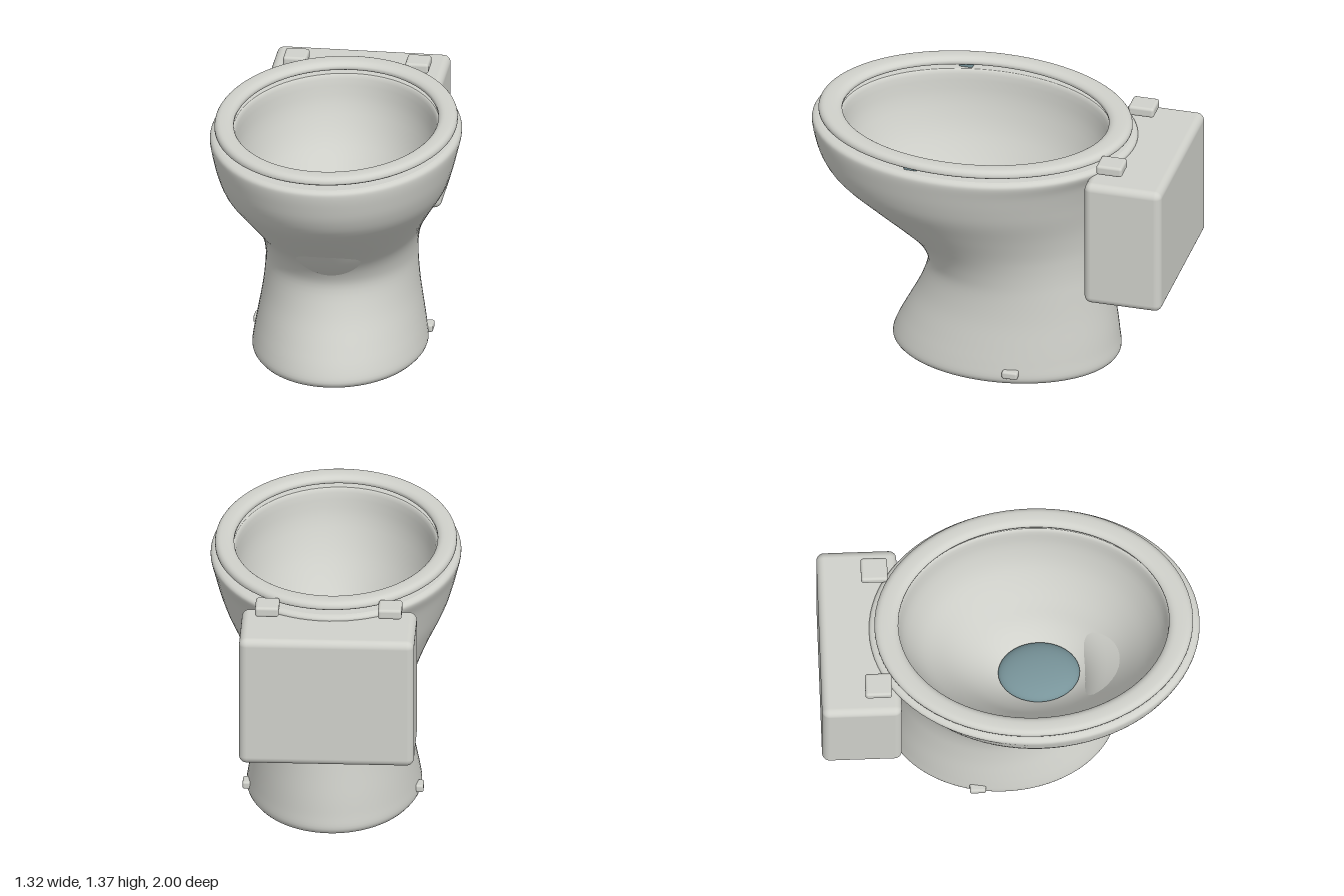
import * as THREE from 'three';
import { RoundedBoxGeometry } from 'three/addons/geometries/RoundedBoxGeometry.js';

const ceramic = new THREE.MeshStandardMaterial({ color: 0xd0d1cb, side: THREE.DoubleSide });
ceramic.name = 'ceramic';
const blueGrey = new THREE.MeshStandardMaterial({ color: 0x78949a });
blueGrey.name = 'blueGrey';

// Skin over elliptical rings; each row is [y, half width, front z, back z]
function loft(rows, steps = 1, sides = 80) {
  const spline = (k) => new THREE.SplineCurve(rows.map((r) => new THREE.Vector2(r[k], r[0])));
  const [width, front, back] = [1, 2, 3].map(spline);
  const count = (rows.length - 1) * steps;
  const pos = [], index = [];
  for (let i = 0; i <= count; i++) {
    const t = i / count;
    const w = width.getPoint(t), f = front.getPoint(t).x, b = back.getPoint(t).x;
    for (let j = 0; j < sides; j++) {
      const a = (j / sides) * Math.PI * 2;
      pos.push(w.x * Math.sin(a), w.y, (f + b) / 2 + ((f - b) / 2) * Math.cos(a));
      if (i === count) continue;
      const p = i * sides + j, q = i * sides + ((j + 1) % sides);
      index.push(p, q, q + sides, p, q + sides, p + sides);
    }
  }
  const g = new THREE.BufferGeometry();
  g.setAttribute('position', new THREE.Float32BufferAttribute(pos, 3));
  g.setIndex(index);
  g.computeVertexNormals();
  return g;
}

export function createModel() {
  const model = new THREE.Group();
  model.name = 'toilet';
  const add = (name, geometry, material, x = 0, y = 0, z = 0) => {
    const m = new THREE.Mesh(geometry, material);
    m.name = name;
    m.position.set(x, y, z);
    model.add(m);
    return m;
  };

  // Pedestal flaring into the outside of the bowl
  add('pedestal', loft([
    [0, 0.44, 0.55, -0.64],
    [0.03, 0.46, 0.565, -0.655],
    [0.1, 0.452, 0.54, -0.648],
    [0.2, 0.435, 0.49, -0.637],
    [0.34, 0.412, 0.42, -0.617],
    [0.48, 0.4, 0.376, -0.598],
    [0.57, 0.402, 0.395, -0.588],
    [0.66, 0.417, 0.46, -0.585],
    [0.75, 0.448, 0.575, -0.588],
    [0.87, 0.508, 0.735, -0.6],
    [1.0, 0.58, 0.89, -0.625],
    [1.1, 0.617, 0.957, -0.652],
    [1.2, 0.643, 0.988, -0.69],
    [1.27, 0.658, 1.0, -0.735],
    [1.295, 0.65, 0.993, -0.733],
    [1.305, 0.63, 0.97, -0.71],
  ], 4), ceramic);
  add('base', loft([[0, 0.001, 0.001, -0.001], [0, 0.44, 0.55, -0.64]].map((r) => r)), ceramic);

  // Flat rim and the hollow of the bowl
  add('rim', loft([[1.305, 0.63, 0.97, -0.71], [1.305, 0.54, 0.85, -0.6]]), ceramic);
  add('bowl', loft([
    [1.305, 0.54, 0.85, -0.6],
    [1.28, 0.525, 0.835, -0.585],
    [1.15, 0.51, 0.81, -0.555],
    [1.0, 0.465, 0.745, -0.48],
    [0.87, 0.395, 0.665, -0.38],
    [0.75, 0.315, 0.577, -0.28],
    [0.65, 0.25, 0.49, -0.18],
    [0.57, 0.175, 0.39, -0.08],
    [0.52, 0.1, 0.27, 0.02],
    [0.5, 0.001, 0.156, 0.154],
  ], 3), ceramic);

  // Water in the sump
  const water = add('water', new THREE.SphereGeometry(1, 40, 20), blueGrey, 0, 0.575, 0.155);
  water.scale.set(0.165, 0.06, 0.215);

  // Seat ring with rounded edges, as insets from its outer edge
  const section = [
    [0, 1.34], [0.002, 1.352], [0.012, 1.364], [0.03, 1.37], [0.065, 1.37],
    [0.085, 1.364], [0.098, 1.352], [0.1, 1.34], [0.09, 1.326], [0.01, 1.326], [0, 1.34],
  ];
  add('seat', loft(section.map(([d, y]) => [y, 0.635 - d, 0.965 - d * 1.25, -0.71 + d * 1.25]), 2), ceramic);

  // Cistern
  add('tank', new RoundedBoxGeometry(0.92, 0.72, 0.42, 4, 0.04), ceramic, 0, 0.92, -0.79);

  // Paired small fittings
  for (const [side, s] of [['left', 1], ['right', -1]]) {
    add(side + 'Hinge', new RoundedBoxGeometry(0.125, 0.055, 0.14, 3, 0.015), ceramic, s * 0.323, 1.336, -0.7);
    add(side + 'Bumper', new RoundedBoxGeometry(0.055, 0.026, 0.075, 3, 0.008), blueGrey, s * 0.56, 1.315, 0.325);
    add(side + 'BoltCap', new RoundedBoxGeometry(0.05, 0.042, 0.085, 3, 0.012), ceramic, s * 0.451, 0.068, -0.182);
  }
  return model;
}
